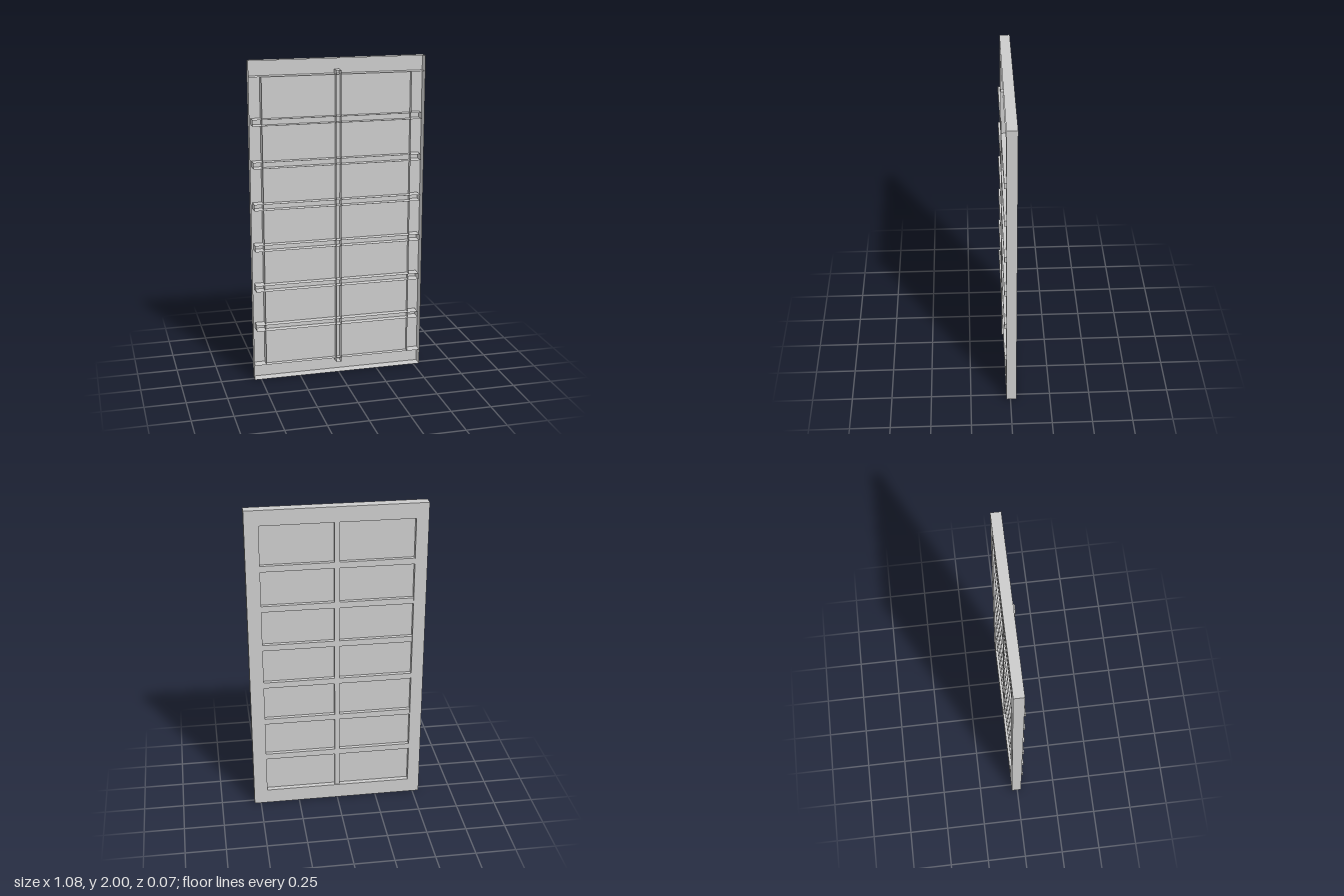
import * as THREE from 'three';

const material = new THREE.MeshStandardMaterial({ color: 0xcccccc, side: THREE.DoubleSide });

// Box shell given by its limits; the listed sides are left open
const SIDES = ['right', 'left', 'top', 'bottom', 'front', 'back'];
function shell(name, [x0, x1], [y0, y1], [z0, z1], open) {
  const geometry = new THREE.BoxGeometry(x1 - x0, y1 - y0, z1 - z0);
  const index = Array.from(geometry.index.array);
  geometry.setIndex(index.filter((_, i) => !open.includes(SIDES[Math.floor(i / 6)])));
  geometry.clearGroups();
  geometry.translate((x0 + x1) / 2, (y0 + y1) / 2, (z0 + z1) / 2);
  const mesh = new THREE.Mesh(geometry, material);
  mesh.name = name;
  return mesh;
}

export function createModel() {
  const group = new THREE.Group();
  group.name = 'window';

  const W = 0.541;                        // half width of the frame
  const inner = { x: [-0.466, 0.456], y: [0.095, 1.905] };
  const frameZ = [-0.037, 0.025];
  const barZ = [-0.03, 0.037];
  const paneZ = -0.006;

  // Hollow frame: full-width rails with stiles between them
  group.add(
    shell('topRail', [-W, W], [inner.y[1], 2], frameZ, ['front']),
    shell('bottomRail', [-W, W], [0, inner.y[0]], frameZ, ['front']),
    shell('rightStile', [-W, inner.x[0]], inner.y, frameZ, ['front', 'top', 'bottom']),
    shell('leftStile', [inner.x[1], W], inner.y, frameZ, ['front', 'top', 'bottom']),
  );

  // Glass pane set back in the opening
  const pane = new THREE.Mesh(
    new THREE.PlaneGeometry(inner.x[1] - inner.x[0], inner.y[1] - inner.y[0]), material);
  pane.position.set((inner.x[0] + inner.x[1]) / 2, 1, paneZ);
  pane.name = 'pane';
  group.add(pane);

  // Hollow glazing bars running through the pane and into the frame
  group.add(shell('mullion', [-0.016, 0.015], [0.07, 1.93], barZ, ['front']));
  for (let i = 0; i < 6; i++) {
    const y = 0.345 + i * 0.258;
    group.add(shell('glazingBar', [-0.524, 0.521], [y - 0.019, y + 0.019], barZ, ['front']));
  }

  return group;
}
